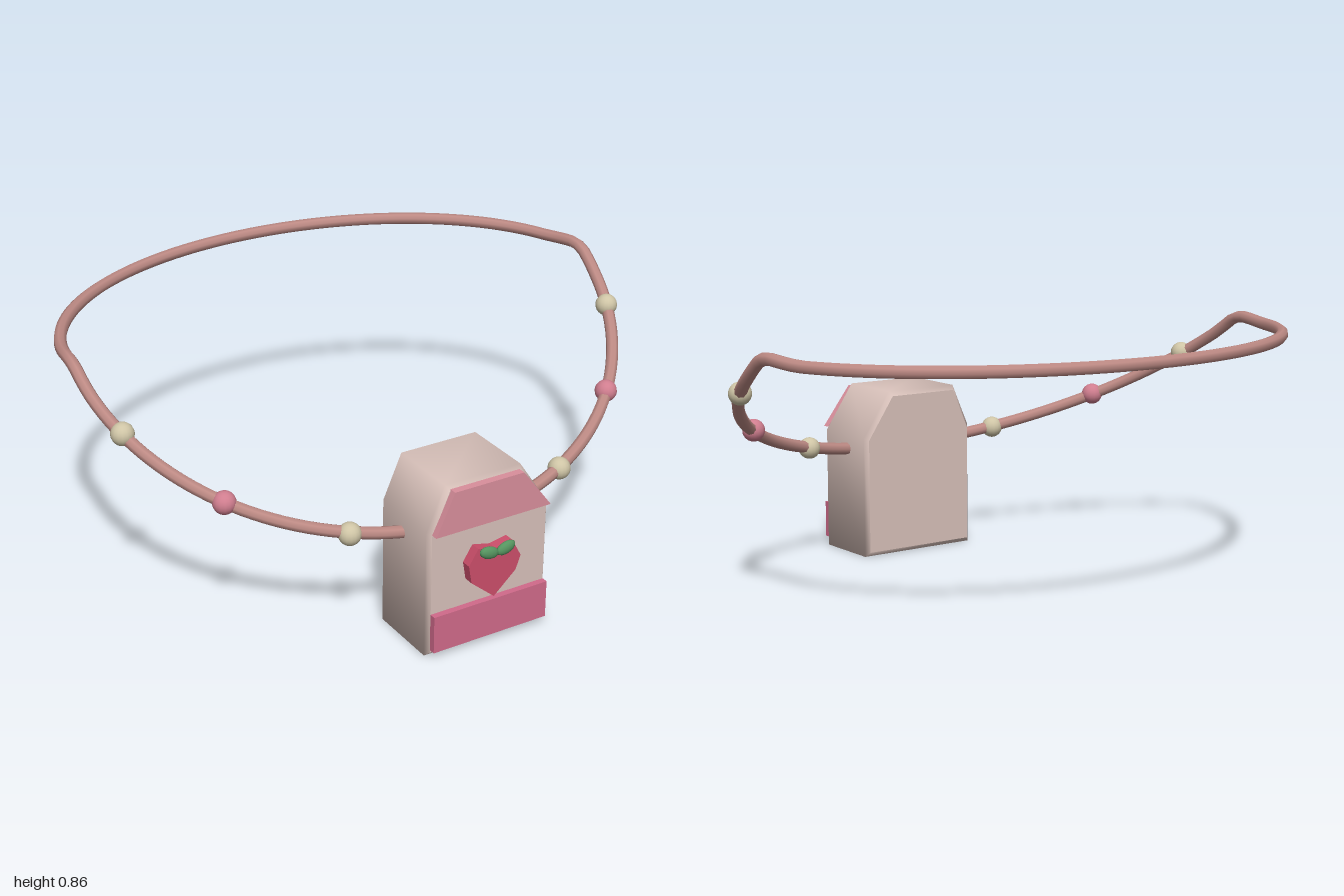
import * as THREE from 'three';

const material = (name, color) => {
  const m = new THREE.MeshStandardMaterial({ color });
  m.name = name;
  return m;
};

// Carton: a six-sided outline swept along z, smooth around, with narrow bevels and flat caps
function cartonGeometry() {
  const outline = [[-0.225, 0], [0.225, 0], [0.225, 0.43], [0.117, 0.59], [-0.16, 0.59], [-0.225, 0.44]];
  const rings = [[0.51, 0.945], [0.526, 1], [0.774, 1], [0.79, 0.945]];
  const n = outline.length;
  const pos = [], index = [];
  const addRing = ([z, s]) => {
    const start = pos.length / 3;
    outline.forEach(([x, y]) => pos.push(x * s, 0.295 + (y - 0.295) * s, z));
    return start;
  };
  rings.forEach(addRing);
  for (let r = 0; r < rings.length - 1; r++) {
    for (let i = 0; i < n; i++) {
      const j = (i + 1) % n, a = r * n, b = a + n;
      index.push(a + i, a + j, b + j, a + i, b + j, b + i);
    }
  }
  const back = addRing(rings[0]), front = addRing(rings[3]);
  for (let i = 1; i < n - 1; i++) {
    index.push(front, front + i, front + i + 1, back, back + i + 1, back + i);
  }
  const g = new THREE.BufferGeometry();
  g.setAttribute('position', new THREE.Float32BufferAttribute(pos, 3));
  g.setIndex(index);
  g.computeVertexNormals();
  return g;
}

// Flat raised shape on the carton front
function plate(points, z0, z1) {
  const shape = new THREE.Shape(points.map(([x, y]) => new THREE.Vector2(x, y)));
  return new THREE.ExtrudeGeometry(shape, { depth: z1 - z0, bevelEnabled: false }).translate(0, 0, z0);
}

// Height of the strap: sloping at the front, a soft hump at the shoulder, level behind
function strapHeight(z) {
  const slope = 0.627, y0 = 0.37 + slope * 0.65, peak = 0.844;
  if (z >= 0) return y0 - slope * z;
  if (z > -0.12) {
    const t = -z / 0.12, t2 = t * t, t3 = t2 * t;
    return (2 * t3 - 3 * t2 + 1) * y0 + (t3 - 2 * t2 + t) * 0.12 * slope + (3 * t2 - 2 * t3) * peak;
  }
  return THREE.MathUtils.lerp(peak, 0.833, THREE.MathUtils.smoothstep(-z, 0.12, 0.28));
}

export function createModel() {
  const model = new THREE.Group();
  model.name = 'cartonNecklace';
  const cream = material('cartonCream', 0xd8c1ba);
  const lightPink = material('lightPink', 0xd98f9c);
  const deepPink = material('deepPink', 0xd06a8a);
  const red = material('berryRed', 0xcb4e6a);
  const green = material('leafGreen', 0x569560);
  const rose = material('strapRose', 0xbd8a84);
  const ivory = material('beadIvory', 0xcfc5a6);
  const beadPink = material('beadPink', 0xd07e8f);

  const add = (name, geometry, mat) => {
    const mesh = new THREE.Mesh(geometry, mat);
    mesh.name = name;
    model.add(mesh);
    return mesh;
  };

  // Carton and its front panels
  add('carton', cartonGeometry(), cream);
  add('topPanel', plate([[-0.212, 0.437], [0.214, 0.437], [0.107, 0.578], [-0.147, 0.578]], 0.785, 0.812), lightPink);
  add('bottomPanel', plate([[-0.213, 0.025], [0.213, 0.025], [0.213, 0.155], [-0.213, 0.155]], 0.785, 0.812), deepPink);

  // Strawberry with two leaves
  add('strawberry', plate([
    [0, 0.174], [0.08, 0.247], [0.097, 0.295], [0.062, 0.36], [0, 0.348],
    [-0.064, 0.363], [-0.097, 0.31], [-0.086, 0.247],
  ], 0.785, 0.824), red);
  for (const side of [-1, 1]) {
    const leaf = add(side > 0 ? 'leftLeaf' : 'rightLeaf', new THREE.SphereGeometry(1, 12, 8), green);
    leaf.scale.set(0.036, 0.021, 0.014);
    leaf.position.set(side * 0.031, 0.346, 0.835);
    leaf.rotation.z = side * 0.3;
  }

  // Strap loop
  const path = [];
  for (let i = 0; i < 96; i++) {
    const a = (i / 96) * Math.PI * 2;
    const z = -0.085 + 0.74 * Math.cos(a);
    path.push(new THREE.Vector3(0.978 * Math.sin(a), strapHeight(z), z));
  }
  const curve = new THREE.CatmullRomCurve3(path, true);
  add('strap', new THREE.TubeGeometry(curve, 160, 0.021, 8, true), rose);

  // Beads threaded on the strap
  const beads = [
    [0.412, 0.408, 0.587, ivory], [0.738, 0.53, 0.398, beadPink], [0.935, 0.704, 0.126, ivory],
    [-0.39, 0.402, 0.598, ivory], [-0.725, 0.52, 0.415, beadPink], [-0.93, 0.69, 0.145, ivory],
  ];
  for (const [x, y, z, mat] of beads) {
    add('bead', new THREE.SphereGeometry(0.038, 16, 12), mat).position.set(x, y, z);
  }
  return model;
}
